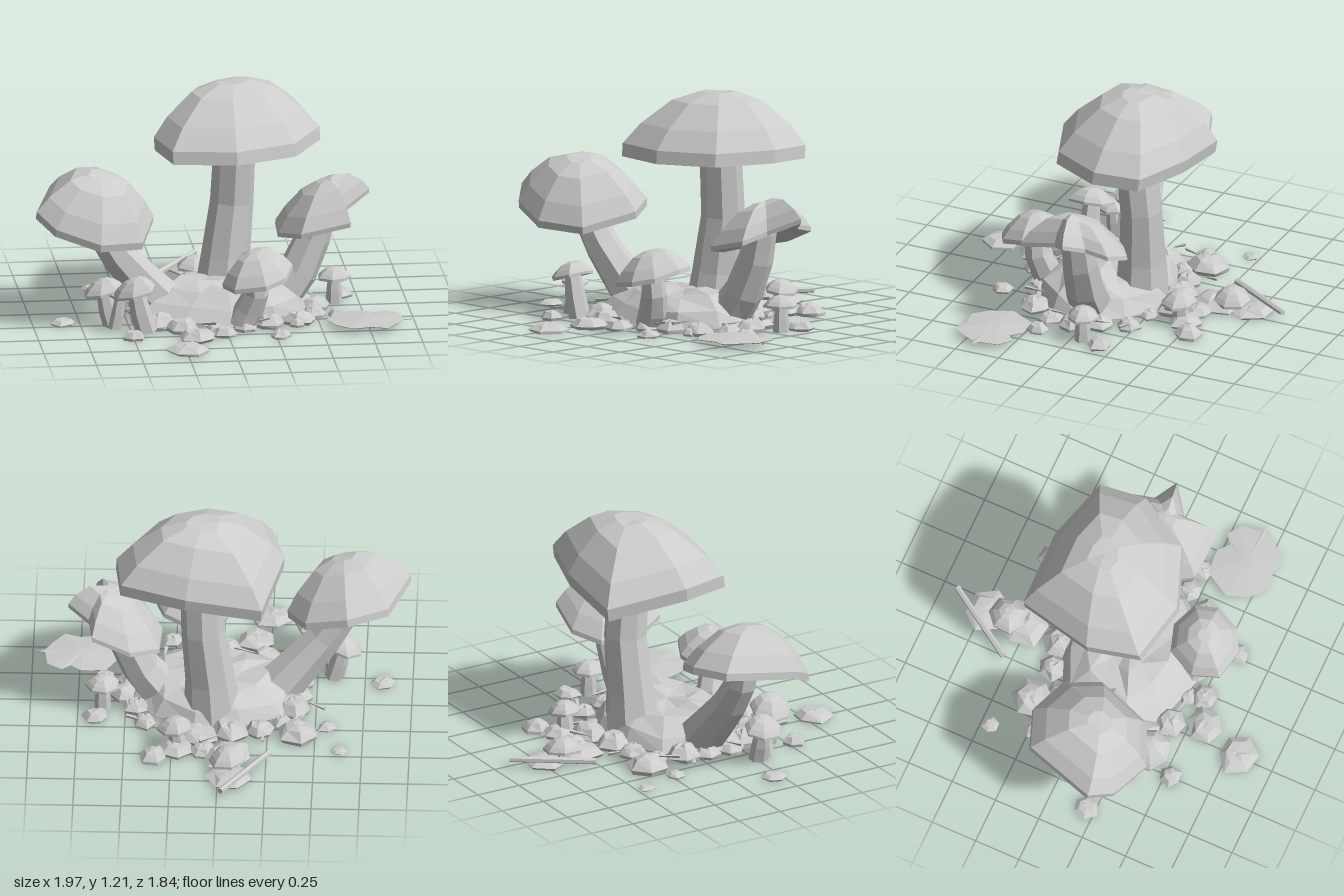
import * as THREE from 'three';

const V = (x, y, z) => new THREE.Vector3(x, y, z);
let seed = 7;
const rnd = () => (seed = (seed * 16807) % 2147483647) / 2147483647;
const jitter = (a) => 1 + (rnd() * 2 - 1) * a;
const centre = (pts) => pts.reduce((s, p) => s.add(p), V(0, 0, 0)).divideScalar(pts.length);

// Closed, flat-shaded skin over rings of equal length
function loft(rings) {
  const tris = [], n = rings[0].length, last = rings[rings.length - 1];
  const c0 = centre(rings[0]), c1 = centre(last);
  for (let i = 0; i < n; i++) {
    const j = (i + 1) % n;
    tris.push([c0, rings[0][j], rings[0][i]], [c1, last[i], last[j]]);
    for (let k = 0; k + 1 < rings.length; k++) {
      const a = rings[k], b = rings[k + 1];
      tris.push([a[i], a[j], b[j]], [a[i], b[j], b[i]]);
    }
  }
  // Turn all faces outward by the sign of the volume
  const volume = tris.reduce((s, [a, b, c]) => s + a.dot(b.clone().cross(c)), 0);
  const flat = [];
  for (const [a, b, c] of tris) {
    for (const p of volume > 0 ? [a, b, c] : [a, c, b]) flat.push(p.x, p.y, p.z);
  }
  const g = new THREE.BufferGeometry();
  g.setAttribute('position', new THREE.Float32BufferAttribute(flat, 3));
  g.computeVertexNormals();
  return g;
}

// Faceted dome with an upright lip and a hollowed underside
function capGeometry(rim, pole, band) {
  const low = rim.map((p) => V(...p));
  const axis = V(...pole).sub(centre(low)).normalize();
  const top = low.map((p) => p.clone().addScaledVector(axis, band));
  const c = centre(top), up = V(...pole).sub(c), cl = centre(low);
  const rings = [[0.2, 0.98], [0.5, 0.81], [0.82, 0.37]].map(([s, h]) =>
    top.map((p) => c.clone().addScaledVector(p.clone().sub(c), s).addScaledVector(up, h)));
  const under = [[0.9, 0.02], [0.5, 0.18], [0.4, 0.14]].map(([s, h]) =>
    low.map((p) => cl.clone().addScaledVector(p.clone().sub(cl), s).addScaledVector(up, h)));
  return loft([...rings, top, low, ...under]);
}

// Stem through points [x, y, z, radius], cut off at the ground
function stemGeometry(points, sides = 7) {
  const at = points.map((p) => V(p[0], p[1], p[2]));
  return loft(points.map((p, k) => {
    const dir = at[Math.min(k + 1, at.length - 1)].clone().sub(at[Math.max(k - 1, 0)]).normalize();
    const q = new THREE.Quaternion().setFromUnitVectors(V(0, 1, 0), dir);
    return Array.from({ length: sides }, (_, i) => {
      const a = (i / sides) * Math.PI * 2;
      const v = V(Math.cos(a) * p[3], 0, Math.sin(a) * p[3]).applyQuaternion(q).add(at[k]);
      v.y = Math.max(v.y, 0);
      return v;
    });
  }));
}

// Lumpy stone or mound from [scale, height] levels
function lumpGeometry(x, z, rx, rz, levels, sides, rough) {
  const radii = Array.from({ length: sides }, () => jitter(rough));
  const turn = rnd() * 6;
  return loft(levels.map(([s, y]) => radii.map((r, i) => {
    const a = (i / sides) * Math.PI * 2 + turn, k = r * s * jitter(rough * 0.5);
    return V(x + Math.cos(a) * rx * k, y * jitter(rough), z + Math.sin(a) * rz * k);
  })));
}
const stoneGeometry = (x, z, r, h) =>
  lumpGeometry(x, z, r, r, [[0.9, 0], [1, h * 0.3], [0.6, h * 0.85], [0.2, h]], 6, 0.13);

export function createModel() {
  const model = new THREE.Group();
  model.name = 'mushroomCluster';
  const grey = new THREE.MeshStandardMaterial({ color: 0xcccccc });
  grey.name = 'plainGrey';
  const add = (name, geometry, parent = model) => {
    const m = new THREE.Mesh(geometry, grey);
    m.name = name;
    parent.add(m);
    return m;
  };
  const mushroom = (name, rim, pole, band, stem, sides) => {
    const g = new THREE.Group();
    g.name = name;
    add('cap', capGeometry(rim, pole, band), g);
    add('stem', stemGeometry(stem, sides), g);
    model.add(g);
  };

  // Four large mushrooms
  mushroom('tallMushroom', [
    [-0.22, 0.8, -0.435], [0.18, 0.86, -0.435], [0.52, 0.88, -0.33], [0.55, 0.885, -0.08],
    [0.39, 0.875, 0.2], [0.07, 0.87, 0.32], [-0.26, 0.865, 0.25], [-0.33, 0.87, -0.02],
  ], [0.09, 1.215, -0.12], 0.07,
  [[0.04, 0.03, -0.13, 0.155], [0.055, 0.25, -0.14, 0.13], [0.09, 0.55, -0.15, 0.115], [0.105, 0.94, -0.115, 0.11]], 8);
  mushroom('leftMushroom', [
    [-0.67, 0.61, -0.19], [-0.45, 0.54, -0.12], [-0.35, 0.5, 0.06], [-0.44, 0.44, 0.36],
    [-0.67, 0.46, 0.46], [-0.9, 0.53, 0.38], [-0.99, 0.6, 0.27], [-0.88, 0.63, -0.11],
  ], [-0.64, 0.81, 0.19], 0.04,
  [[-0.3, 0.06, 0.08, 0.13], [-0.42, 0.2, 0.1, 0.11], [-0.54, 0.34, 0.12, 0.095], [-0.63, 0.48, 0.13, 0.085], [-0.66, 0.62, 0.13, 0.08]]);
  mushroom('rightMushroom', [
    [0.8, 0.6, -0.03], [0.66, 0.53, 0.08], [0.67, 0.5, 0.27], [0.41, 0.44, 0.25], [0.31, 0.4, 0.06],
    [0.32, 0.41, -0.16], [0.47, 0.44, -0.25], [0.67, 0.52, -0.23], [0.69, 0.55, -0.11],
  ], [0.57, 0.7, 0.01], 0.025,
  [[0.31, 0.05, 0.03, 0.12], [0.42, 0.2, 0.02, 0.105], [0.5, 0.38, 0.01, 0.095], [0.54, 0.54, 0.01, 0.085]]);
  mushroom('frontMushroom', [
    [0.35, 0.33, 0.42], [0.3, 0.29, 0.55], [0.19, 0.265, 0.61], [0.03, 0.24, 0.57],
    [-0.02, 0.235, 0.43], [0.05, 0.265, 0.28], [0.18, 0.3, 0.24], [0.31, 0.33, 0.3],
  ], [0.15, 0.44, 0.43], 0.025,
  [[0.08, 0, 0.38, 0.08], [0.12, 0.1, 0.39, 0.08], [0.155, 0.2, 0.42, 0.068], [0.15, 0.32, 0.43, 0.06]]);

  // Little mushrooms: x, z, height, cap radius, lean in x
  [[-0.48, 0.4, 0.3, 0.115, -0.06], [-0.635, 0.26, 0.26, 0.1, -0.05], [-0.55, 0.32, 0.22, 0.07, 0.03],
    [0.62, -0.06, 0.195, 0.085, 0], [0.23, -0.44, 0.19, 0.09, 0.02], [-0.05, -0.61, 0.12, 0.1, 0.02]]
    .forEach(([x, z, h, r, lean]) => {
      const rim = Array.from({ length: 7 }, (_, i) => {
        const a = (i / 7) * Math.PI * 2, k = r * jitter(0.1);
        return [x + Math.cos(a) * k, h - r * 0.75 - lean * Math.cos(a) * 0.5, z + Math.sin(a) * k];
      });
      mushroom('littleMushroom', rim, [x, h, z], 0.014,
        [[x - lean, 0, z, r * 0.52], [x - lean * 0.5, h * 0.35, z, r * 0.48], [x, h - r * 0.5, z, r * 0.36]], 6);
    });

  // Mound the stems grow from, hollow underneath
  add('mound', lumpGeometry(0.02, 0.06, 0.47, 0.38,
    [[0.5, 0.06], [0.9, 0.005], [1, 0.025], [0.88, 0.1], [0.6, 0.165], [0.3, 0.175]], 11, 0.13));

  // Loose stones: x, z, radius, height
  [[-0.24, 0.8, 0.115, 0.045], [-0.17, 0.58, 0.1, 0.055], [-0.63, -0.45, 0.045, 0.02], [-0.56, -0.23, 0.05, 0.03],
    [0.38, 0.37, 0.045, 0.04], [-0.5, 0.53, 0.06, 0.05], [-0.41, -0.31, 0.12, 0.08], [-0.02, 0.51, 0.07, 0.05],
    [0.27, 0.57, 0.06, 0.04], [0.34, -0.54, 0.08, 0.06], [0.22, -0.47, 0.09, 0.06], [0.08, -0.48, 0.08, 0.05],
    [-0.06, -0.73, 0.12, 0.04], [0.65, -0.17, 0.07, 0.05], [-0.84, 0.2, 0.07, 0.03], [-0.05, -0.53, 0.14, 0.06],
    [0.62, 0.2, 0.06, 0.04]]
    .forEach((s) => add('stone', stoneGeometry(...s)));

  // Stones packed round the foot of the mound
  for (let i = 0; i < 18; i++) {
    const a = (i / 18) * Math.PI * 2, r = 0.08 * jitter(0.4), k = jitter(0.1);
    add('footStone', stoneGeometry(0.02 + Math.cos(a) * 0.46 * k, 0.05 + Math.sin(a) * 0.39 * k, r, r * 0.8));
  }

  // Thin slivers of litter
  for (let i = 0; i < 14; i++) {
    const a = i * 2.4, g = new THREE.ConeGeometry(0.012, 0.13 * jitter(0.3), 3);
    const m = add('sliver', g.toNonIndexed());
    m.geometry.computeVertexNormals();
    m.rotation.set(Math.PI / 2, 0.1, rnd() * 6);
    m.position.set(Math.cos(a) * 0.5, 0.04 + rnd() * 0.04, Math.sin(a) * 0.44);
  }

  // Twig
  add('twig', stemGeometry([[-0.265, 0.045, -0.54, 0.018], [-0.02, 0.05, -0.92, 0.016]], 6));

  // Fallen leaf with a lobed outline, slightly raised in the middle
  const outline = [[0.53, 0.38], [0.61, 0.24], [0.74, 0.23], [0.8, 0.28], [0.845, 0.24], [0.92, 0.29], [0.935, 0.4],
    [0.98, 0.412], [0.935, 0.425], [0.9, 0.49], [0.835, 0.58], [0.75, 0.55], [0.65, 0.57], [0.57, 0.49]];
  const leafRing = (s, y) => outline.map(([x, z]) => V(0.74 + (x - 0.74) * s, y, 0.4 + (z - 0.4) * s));
  add('leaf', loft([leafRing(0.2, 0.046), leafRing(1, 0.034), leafRing(0.98, 0.03), leafRing(0.2, 0.04)]));

  return model;
}
